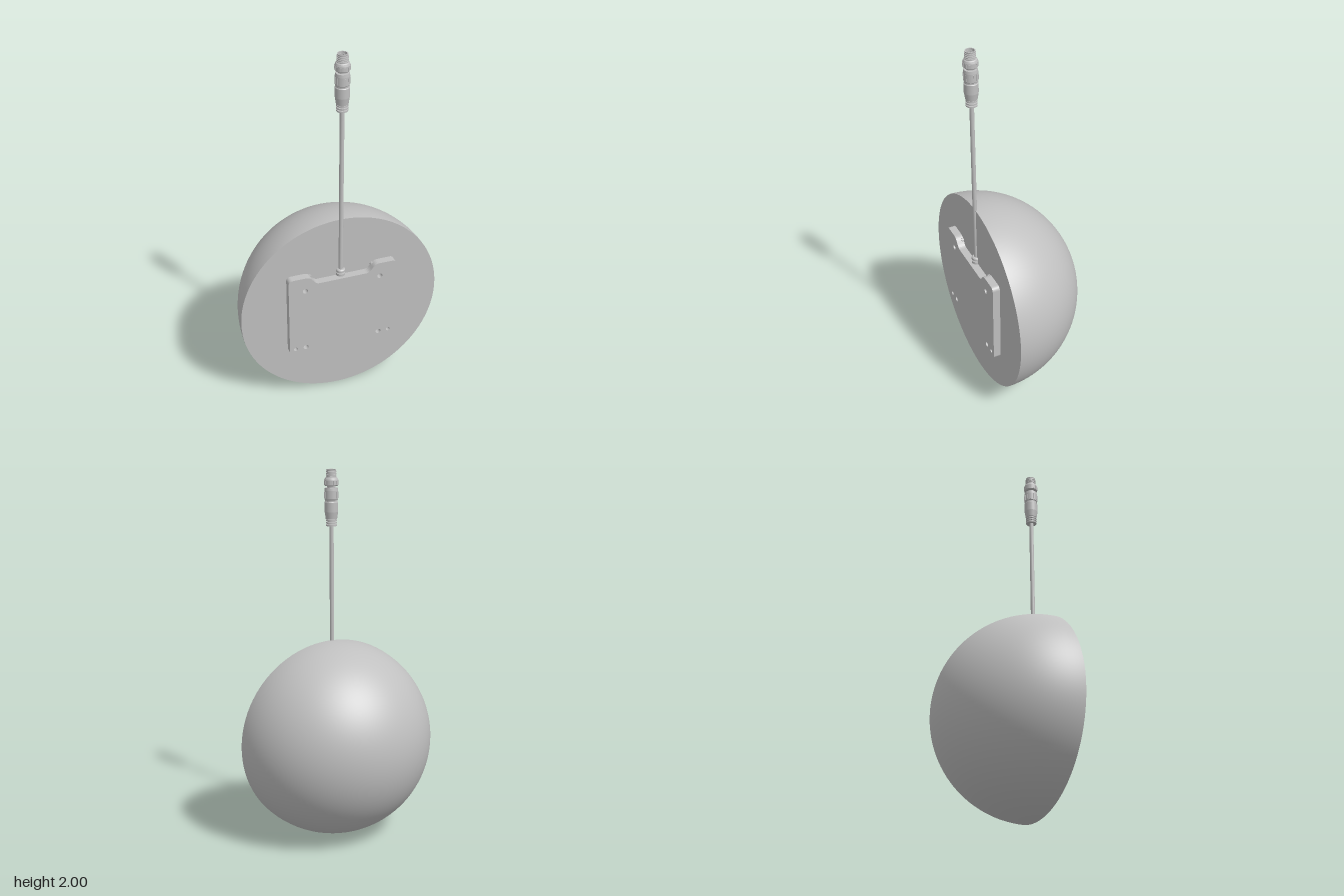
import * as THREE from 'three';

const grey = new THREE.MeshStandardMaterial({ color: 0xc0c0c0 });
grey.name = 'light grey';

const FLAT_Z = 0.25; // plane of the dome's flat face and of the cable axis

function add(parent, name, geometry, x = 0, y = 0, z = 0) {
  const mesh = new THREE.Mesh(geometry, grey);
  mesh.name = name;
  mesh.position.set(x, y, z);
  parent.add(mesh);
  return mesh;
}

// Turned part with crisp edges: each profile segment is its own band
function turned(parent, name, profile, z = FLAT_Z) {
  const group = new THREE.Group();
  group.name = name;
  for (let i = 0; i < profile.length - 1; i++) {
    const pts = [profile[i], profile[i + 1]].map(([r, y]) => new THREE.Vector2(r, y));
    add(group, name + 'Band', new THREE.LatheGeometry(pts, 32), 0, 0, z);
  }
  parent.add(group);
}

// Stacked ridges along y, for strain relief and screw thread
function ridges(y0, y1, count, outer, inner) {
  const pts = [];
  const step = (y1 - y0) / count;
  for (let i = 0; i < count; i++) {
    const y = y0 + i * step;
    pts.push([outer, y], [outer, y + step * 0.6], [inner, y + step * 0.65], [inner, y + step]);
  }
  return pts;
}

function createPlate() {
  const s = new THREE.Shape();
  const w = 0.295, b = 0.3, t = 0.79, r = 0.022;
  s.moveTo(-w + r, b);
  s.lineTo(w - r, b);
  s.absarc(w - r, b + r, r, -Math.PI / 2, 0);
  s.lineTo(w, t - r);
  s.absarc(w - r, t - r, r, 0, Math.PI / 2);
  // Cable notch in the top edge
  s.lineTo(0.2, t);
  s.bezierCurveTo(0.16, t, 0.165, 0.745, 0.13, 0.742);
  s.lineTo(-0.13, 0.742);
  s.bezierCurveTo(-0.165, 0.745, -0.16, t, -0.2, t);
  s.lineTo(-w + r, t);
  s.absarc(-w + r, t - r, r, Math.PI / 2, Math.PI);
  s.lineTo(-w, b + r);
  s.absarc(-w + r, b + r, r, Math.PI, Math.PI * 1.5);
  // Mounting holes
  for (const side of [-1, 1]) {
    for (const [x, y, hr] of [[0.205, 0.708, 0.014], [0.205, 0.333, 0.014], [0.262, 0.333, 0.011]]) {
      const hole = new THREE.Path();
      hole.absarc(side * x, y, hr, 0, Math.PI * 2, true);
      s.holes.push(hole);
    }
  }
  return new THREE.ExtrudeGeometry(s, { depth: 0.04, bevelEnabled: false, curveSegments: 12 });
}

export function createModel() {
  const model = new THREE.Group();
  model.name = 'domeSensor';

  // Half sphere with its flat face forward
  const R = 0.542;
  add(model, 'dome', new THREE.SphereGeometry(R, 96, 32, 0, Math.PI * 2, 0, Math.PI / 2).rotateX(-Math.PI / 2), 0, R, FLAT_Z);
  add(model, 'domeFace', new THREE.CircleGeometry(R, 96), 0, R, FLAT_Z);

  // Mounting plate with screw bosses beside the notch
  add(model, 'mountingPlate', createPlate(), 0, 0, FLAT_Z);
  for (const side of [-1, 1]) {
    add(model, 'notchScrew', new THREE.CylinderGeometry(0.011, 0.011, 0.012, 20).rotateX(Math.PI / 2), side * 0.172, 0.77, FLAT_Z + 0.006);
  }

  // Cable and its gland
  add(model, 'cable', new THREE.CylinderGeometry(0.0115, 0.0115, 0.97, 24), 0, 1.225, FLAT_Z);
  turned(model, 'cableGland', [
    [0, 0.742], [0.024, 0.742], [0.024, 0.756], [0.018, 0.757], [0.018, 0.762],
    [0.024, 0.763], [0.024, 0.775], [0.019, 0.78], [0.0115, 0.78],
  ]);

  // Plug: strain relief, grip, coupling ring and hollow threaded end
  const plug = new THREE.Group();
  plug.name = 'plug';
  model.add(plug);
  turned(plug, 'strainRelief', [[0, 1.705], [0.028, 1.705], ...ridges(1.705, 1.745, 3, 0.029, 0.022)]);
  turned(plug, 'gripBody', [
    [0.022, 1.742], [0.03, 1.742], [0.036, 1.78], [0.036, 1.83], [0.033, 1.834], [0.033, 1.842],
    [0.036, 1.846], [0.036, 1.89], [0.034, 1.905], [0.022, 1.905], [0.022, 1.917],
  ]);
  turned(plug, 'couplingRing', [
    [0.022, 1.915], [0.033, 1.915], [0.037, 1.92], [0.037, 1.945], [0.033, 1.955], [0.027, 1.96],
  ]);
  turned(plug, 'threadedEnd', [
    ...ridges(1.958, 1.995, 4, 0.028, 0.025),
    [0.026, 2.0], [0.021, 2.0], [0.021, 1.975], [0, 1.975],
  ]);

  // Raised grip ribs and knurling
  for (let i = 0; i < 12; i++) {
    const a = (i / 12) * Math.PI * 2;
    const rib = add(plug, 'gripRib', new THREE.BoxGeometry(0.006, 0.034, 0.004), Math.sin(a) * 0.0355, 1.868, FLAT_Z + Math.cos(a) * 0.0355);
    rib.rotation.y = a;
    const knurl = add(plug, 'ringKnurl', new THREE.BoxGeometry(0.008, 0.02, 0.004), Math.sin(a) * 0.0365, 1.932, FLAT_Z + Math.cos(a) * 0.0365);
    knurl.rotation.y = a;
  }

  // Contact pins
  for (let i = 0; i < 4; i++) {
    const a = Math.PI / 4 + (i * Math.PI) / 2;
    add(plug, 'contactPin', new THREE.CylinderGeometry(0.003, 0.003, 0.02, 10), Math.cos(a) * 0.012, 1.984, FLAT_Z + Math.sin(a) * 0.012);
  }

  return model;
}
